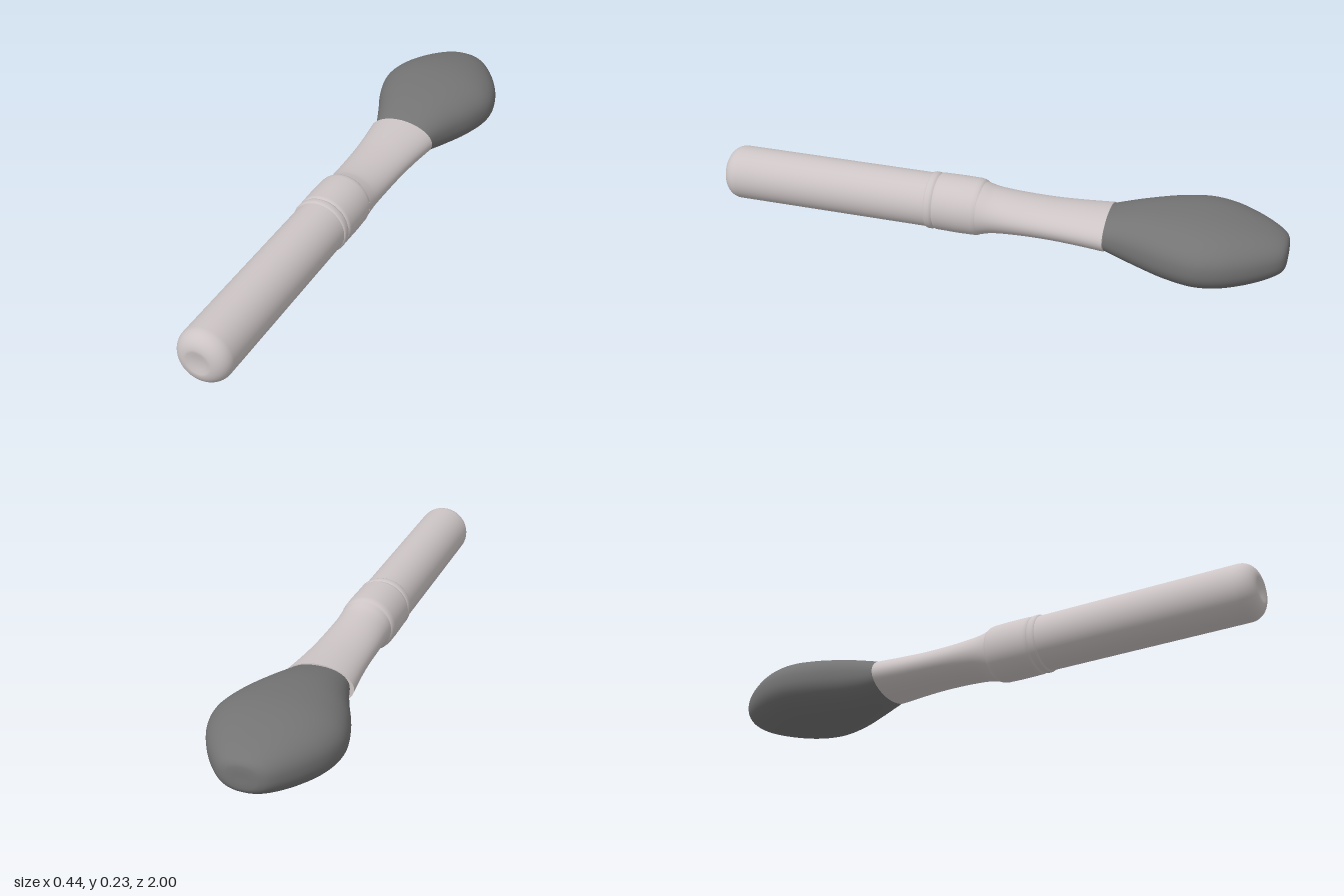
import * as THREE from 'three';

const SIDES = 64;

// Smooth list of [z, rx, ry] stations through a few key stations
function smooth(stations, count) {
  const pts = stations.map((s) => new THREE.Vector3(...s));
  return new THREE.CatmullRomCurve3(pts, false, 'centripetal').getPoints(count).map((p) => [p.x, p.y, p.z]);
}

// Skin of superelliptic rings running from +z to -z; a repeated station gives a sharp edge
function loft(stations, power = 2) {
  const pos = [], index = [];
  const bend = (v) => Math.sign(v) * Math.abs(v) ** (2 / power);
  stations.forEach(([z, rx, ry]) => {
    for (let j = 0; j < SIDES; j++) {
      const a = (j / SIDES) * Math.PI * 2;
      pos.push(rx * bend(Math.cos(a)), ry * bend(Math.sin(a)), z);
    }
  });
  for (let i = 0; i < stations.length - 1; i++) {
    if (stations[i].every((v, k) => v === stations[i + 1][k])) continue;
    for (let j = 0; j < SIDES; j++) {
      const k = (j + 1) % SIDES;
      const a = i * SIDES + j, b = i * SIDES + k, c = a + SIDES, d = b + SIDES;
      index.push(a, c, b, b, c, d);
    }
  }
  const geo = new THREE.BufferGeometry();
  geo.setAttribute('position', new THREE.Float32BufferAttribute(pos, 3));
  geo.setIndex(index);
  geo.computeVertexNormals();
  return geo;
}

const round = (list) => list.map(([z, r]) => [z, r, r]);

export function createModel() {
  const model = new THREE.Group();
  const shell = new THREE.MeshStandardMaterial({ color: 0xcdc5c5 });
  shell.name = 'warm light grey';
  const hair = new THREE.MeshStandardMaterial({ color: 0x747474 });
  hair.name = 'dark grey';

  const add = (name, geo, mat) => {
    const mesh = new THREE.Mesh(geo, mat);
    mesh.name = name;
    mesh.position.set(0, 0.113, 0);
    model.add(mesh);
    return mesh;
  };

  // Handle with a rounded butt
  const butt = [[0.995, 0], [0.995, 0.025], [1, 0.04]];
  for (let i = 1; i <= 10; i++) {
    const a = (i / 10) * Math.PI / 2;
    butt.push([0.945 + 0.055 * Math.cos(a), 0.04 + 0.055 * Math.sin(a)]);
  }
  add('handle', loft(round([...butt, [0.9, 0.095], [0.2, 0.095]])), shell).position.x = -0.003;

  // Raised bead and collar joining handle and ferrule
  add('collarBead', loft(round([
    [0.238, 0.094], [0.236, 0.098], [0.23, 0.1], [0.218, 0.1], [0.212, 0.098], [0.208, 0.095],
  ])), shell).position.x = -0.003;
  add('collar', loft(round([
    [0.208, 0.095], [0.204, 0.099], [0.195, 0.1], [0.12, 0.101], [0.065, 0.1], [0.052, 0.098],
    [0.044, 0.094], [0.036, 0.085], [0.036, 0.085], [0.036, 0.05],
  ])), shell).position.x = -0.003;

  // Ferrule: flattens and widens towards the bristles, closed by a flat lip
  const ferrule = smooth([
    [0.05, 0.095, 0.095], [0.03, 0.095, 0.088], [0, 0.095, 0.079], [-0.08, 0.098, 0.069], [-0.2, 0.103, 0.064],
    [-0.3, 0.111, 0.066], [-0.4, 0.123, 0.07],
  ], 36);
  const lip = [-0.4, 0.123, 0.07];
  add('ferrule', loft([...ferrule, lip, [-0.4, 0, 0]], 1.95), shell);

  // Bristle head: broad, flattened bulb with a blunt tip
  const head = smooth([
    [-0.39, 0.105, 0.062], [-0.44, 0.121, 0.077], [-0.52, 0.153, 0.095], [-0.62, 0.195, 0.108],
    [-0.72, 0.218, 0.113], [-0.8, 0.205, 0.108], [-0.88, 0.167, 0.094], [-0.95, 0.118, 0.074],
    [-0.985, 0.084, 0.057], [-0.997, 0.06, 0.043], [-1, 0.04, 0.028], [-1, 0, 0],
  ], 60);
  add('bristles', loft(head, 2.3), hair);

  return model;
}
